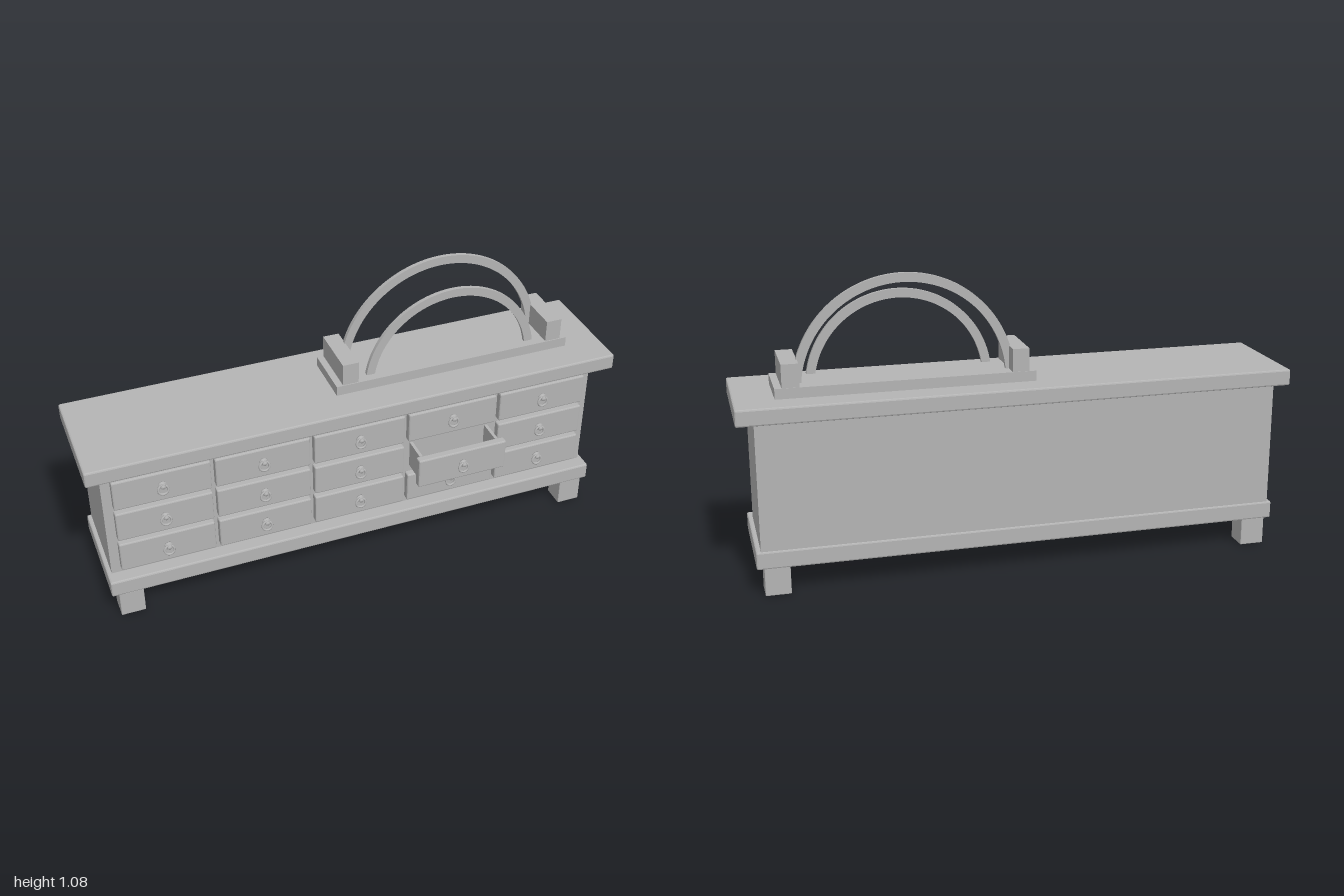
import * as THREE from 'three';
import { RoundedBoxGeometry } from 'three/addons/geometries/RoundedBoxGeometry.js';

const grey = new THREE.MeshStandardMaterial({ color: 0xb4b4b4 });
grey.name = 'warm grey';

function add(parent, name, geometry, x = 0, y = 0, z = 0) {
  const mesh = new THREE.Mesh(geometry, grey);
  mesh.name = name;
  mesh.position.set(x, y, z);
  parent.add(mesh);
  return mesh;
}

// Box given by its limits, with an optional chamfer on every edge
function box(parent, name, [x0, x1], [y0, y1], [z0, z1], chamfer = 0) {
  const size = [x1 - x0, y1 - y0, z1 - z0];
  const geometry = chamfer
    ? new RoundedBoxGeometry(...size, 1, chamfer)
    : new THREE.BoxGeometry(...size);
  if (chamfer) geometry.computeVertexNormals();
  return add(parent, name, geometry, (x0 + x1) / 2, (y0 + y1) / 2, (z0 + z1) / 2);
}

// Small turned stud with a hanging ring
function createPull() {
  const pull = new THREE.Group();
  pull.name = 'drawerPull';
  const profile = [[0, 0], [0.015, 0], [0.015, 0.003], [0.006, 0.005], [0.006, 0.011],
    [0.01, 0.014], [0.008, 0.018], [0, 0.02]].map(p => new THREE.Vector2(...p));
  const stud = add(pull, 'pullStud', new THREE.LatheGeometry(profile, 14), 0, 0.008, 0);
  stud.rotation.x = Math.PI / 2;
  const ring = add(pull, 'pullRing', new THREE.TorusGeometry(0.018, 0.0045, 8, 20), 0, -0.007, 0.01);
  ring.rotation.x = -0.12;
  return pull;
}

// Drawer front with its pull; the origin is the middle of the back face
function createDrawer() {
  const drawer = new THREE.Group();
  drawer.name = 'drawer';
  box(drawer, 'drawerFront', [-0.175, 0.175], [-0.06, 0.06], [-0.002, 0.029], 0.005);
  const pull = createPull();
  pull.position.z = 0.029;
  drawer.add(pull);
  return drawer;
}

// Open tray behind a pulled-out drawer front
function addTray(drawer) {
  const depth = [-0.11, 0];
  box(drawer, 'trayFloor', [-0.158, 0.158], [-0.052, -0.042], depth);
  for (const s of [-1, 1]) {
    const x = s * 0.152;
    box(drawer, 'traySide', [x - 0.006, x + 0.006], [-0.052, 0.052], depth);
  }
}

// Flat half-ring arch, cut off radially at both feet
function createArch(radius, width, start, depth) {
  const shape = new THREE.Shape();
  shape.absarc(0, 0, radius, start, Math.PI - start, false);
  shape.absarc(0, 0, radius - width, Math.PI - start, start, true);
  shape.closePath();
  return new THREE.ExtrudeGeometry(shape, { depth, bevelEnabled: false, curveSegments: 40 });
}

export function createModel() {
  const model = new THREE.Group();
  model.name = 'sideboard';

  // Carcass
  box(model, 'top', [-1, 1], [0.62, 0.68], [-0.255, 0.175], 0.006);
  box(model, 'body', [-0.944, 0.938], [0.16, 0.625], [-0.235, 0.11]);
  box(model, 'base', [-0.96, 0.955], [0.1, 0.165], [-0.24, 0.163], 0.006);

  // Feet
  for (const x of [-0.935, 0.84]) {
    for (const z of [-0.237, 0.077]) {
      box(model, 'foot', [x, x + 0.09], [0, 0.104], [z, z + 0.084], 0.003);
    }
  }

  // Drawers in three rows of five, one pulled out
  for (let row = 0; row < 3; row++) {
    for (let column = 0; column < 5; column++) {
      const open = row === 1 && column === 3;
      const drawer = createDrawer();
      drawer.position.set(-0.735 + column * 0.366, 0.25 + row * 0.138, open ? 0.211 : 0.11);
      if (open) addTray(drawer);
      model.add(drawer);
    }
  }

  // Arched stand on the top
  const stand = new THREE.Group();
  stand.name = 'archStand';
  box(stand, 'standPlate', [-0.06, 0.858], [0.679, 0.717], [-0.158, 0.052]);
  for (const x of [-0.035, 0.773]) {
    box(stand, 'standBlock', [x, x + 0.06], [0.715, 0.8], [-0.156, 0.048]);
  }
  add(stand, 'rearArch', createArch(0.395, 0.032, 0.08, 0.015), 0.399, 0.685, -0.101);
  add(stand, 'frontArch', createArch(0.336, 0.032, 0.15, 0.015), 0.399, 0.668, 0.005);
  model.add(stand);

  return model;
}
